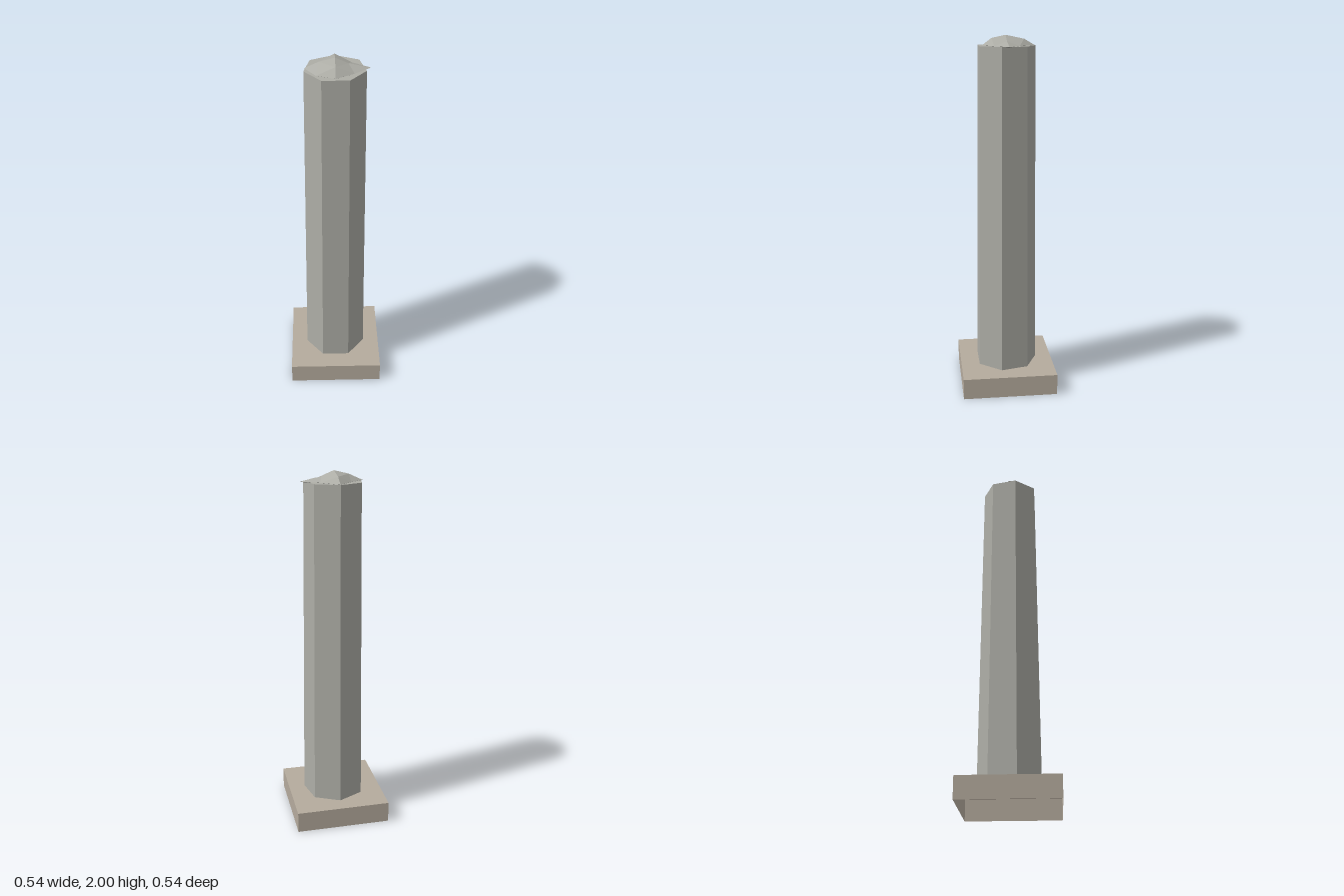
import * as THREE from 'three';

const stone = new THREE.MeshStandardMaterial({ color: 0xadada6, flatShading: true });
const plinthStone = new THREE.MeshStandardMaterial({ color: 0xb5ab9d, flatShading: true, side: THREE.DoubleSide });

// Plinth: a box left open underneath
function createPlinth() {
  const geometry = new THREE.BoxGeometry(0.535, 0.12, 0.535);
  const bottomFace = 3;
  const index = Array.from(geometry.index.array);
  index.splice(bottomFace * 6, 6);
  geometry.setIndex(index);
  geometry.clearGroups();
  const plinth = new THREE.Mesh(geometry, plinthStone);
  plinth.name = 'plinth';
  plinth.position.y = 0.06;
  return plinth;
}

// Shaft: tapered seven-sided column with one corner at the back
function createShaft() {
  const bottom = 0.12, top = 1.945;
  const shaft = new THREE.Mesh(new THREE.CylinderGeometry(0.161, 0.179, top - bottom, 7), stone);
  shaft.name = 'shaft';
  shaft.rotation.y = Math.PI;
  shaft.position.y = (bottom + top) / 2;
  return shaft;
}

// Rough capstone: an uneven faceted dome above and below a shared rim
function createCapstone() {
  const rimY = 1.946;
  // x, z around the rim: right, front right, front, ... back right
  const rim = [[0.18, 0], [0.095, 0.07], [0, 0.127], [-0.095, 0.09],
    [-0.155, 0], [-0.078, -0.07], [0, -0.157], [0.086, -0.066]]
    .map(([x, z]) => [x, rimY, z]);
  // shoulders: right, front, left, back
  const shoulders = [[0.067, 1.97, 0], [0, 1.984, 0.076], [-0.08, 1.98, 0], [0, 1.979, -0.1]];
  const positions = [];

  function addHalf(peak, ring, up) {
    const face = (a, b, c) => positions.push(...a, ...(up ? b : c), ...(up ? c : b));
    for (let i = 0; i < 4; i++) {
      const j = (i + 1) % 4;
      const a = rim[2 * i], mid = rim[2 * i + 1], b = rim[2 * j];
      face(peak, ring[j], ring[i]);
      face(ring[i], ring[j], mid);
      face(ring[i], mid, a);
      face(ring[j], b, mid);
    }
  }
  addHalf([0, 2, 0], shoulders, true);
  addHalf([0, 1.895, 0], shoulders.map(([x, y, z]) => [x, 2 * rimY - y, z]), false);

  const geometry = new THREE.BufferGeometry();
  geometry.setAttribute('position', new THREE.Float32BufferAttribute(positions, 3));
  geometry.computeVertexNormals();
  const capstone = new THREE.Mesh(geometry, stone);
  capstone.name = 'capstone';
  return capstone;
}

export function createModel() {
  const model = new THREE.Group();
  model.name = 'stonePillar';
  model.add(createPlinth(), createShaft(), createCapstone());
  return model;
}
